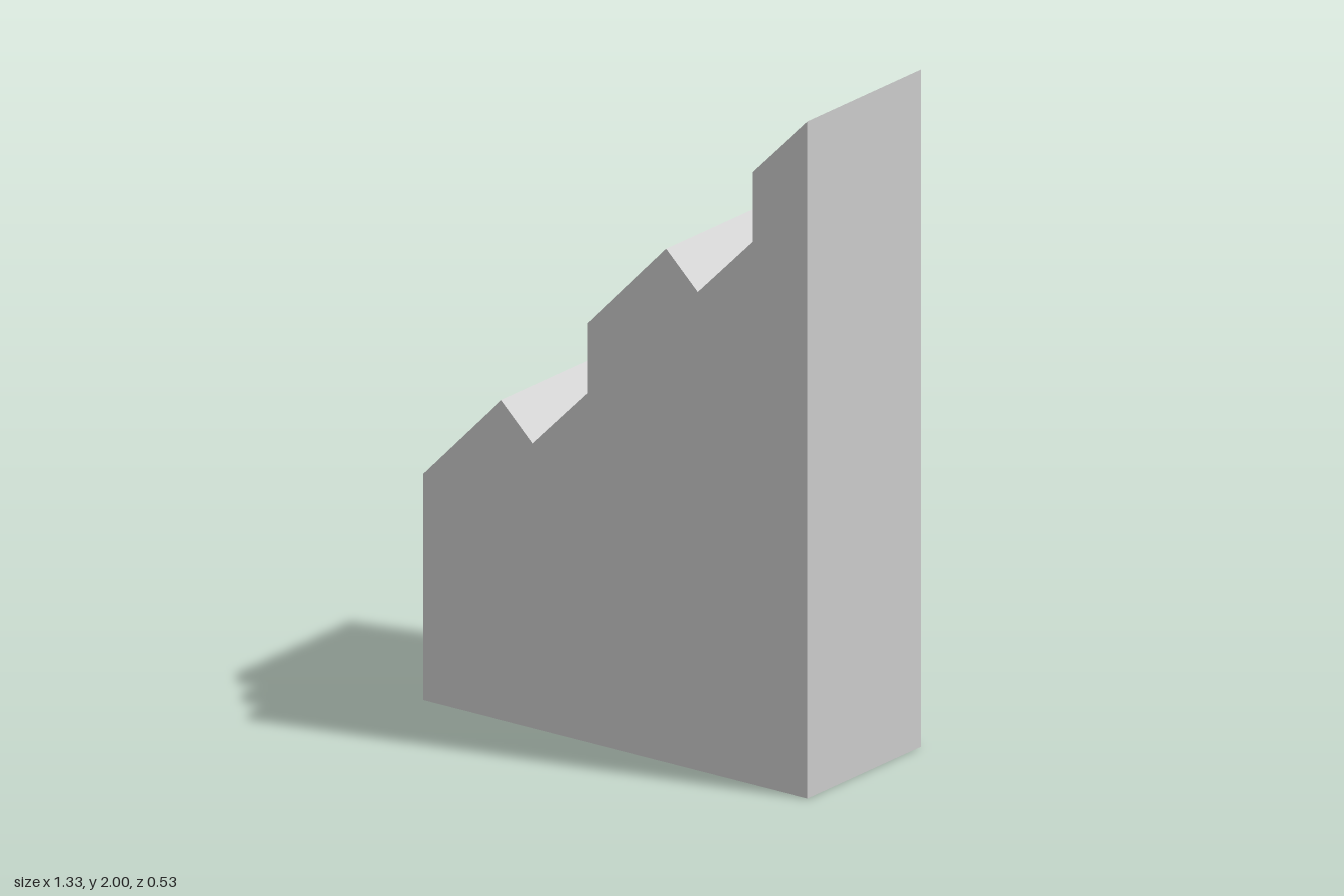
import * as THREE from 'three';

const HALF_WIDTH = 0.667;
const DEPTH = 0.526;

export function createModel() {
  const group = new THREE.Group();
  group.name = 'notchedRamp';

  // Side profile: 45 degree slope from the low end up to the tall end
  const profile = new THREE.Shape();
  profile.moveTo(-HALF_WIDTH, 0);
  profile.lineTo(HALF_WIDTH, 0);
  profile.lineTo(HALF_WIDTH, 2);
  // Two identical notches, from the upper one down
  for (const [x, y] of [[0.286, 1.413], [-0.286, 0.841]]) {
    profile.lineTo(x + 0.19, y + 0.396); // top of the upright wall
    profile.lineTo(x + 0.19, y + 0.19); // foot of the upright wall
    profile.lineTo(x, y); // notch bottom
    profile.lineTo(x - 0.109, y + 0.104); // notch lip
  }
  profile.lineTo(-HALF_WIDTH, 0.667);
  profile.closePath();

  // Solid block, extruded across the depth
  const geometry = new THREE.ExtrudeGeometry(profile, { depth: DEPTH, bevelEnabled: false });
  geometry.translate(0, 0, -DEPTH / 2);
  const material = new THREE.MeshStandardMaterial({ color: 0xcccccc, flatShading: true });
  const block = new THREE.Mesh(geometry, material);
  block.name = 'rampBlock';
  group.add(block);

  return group;
}
